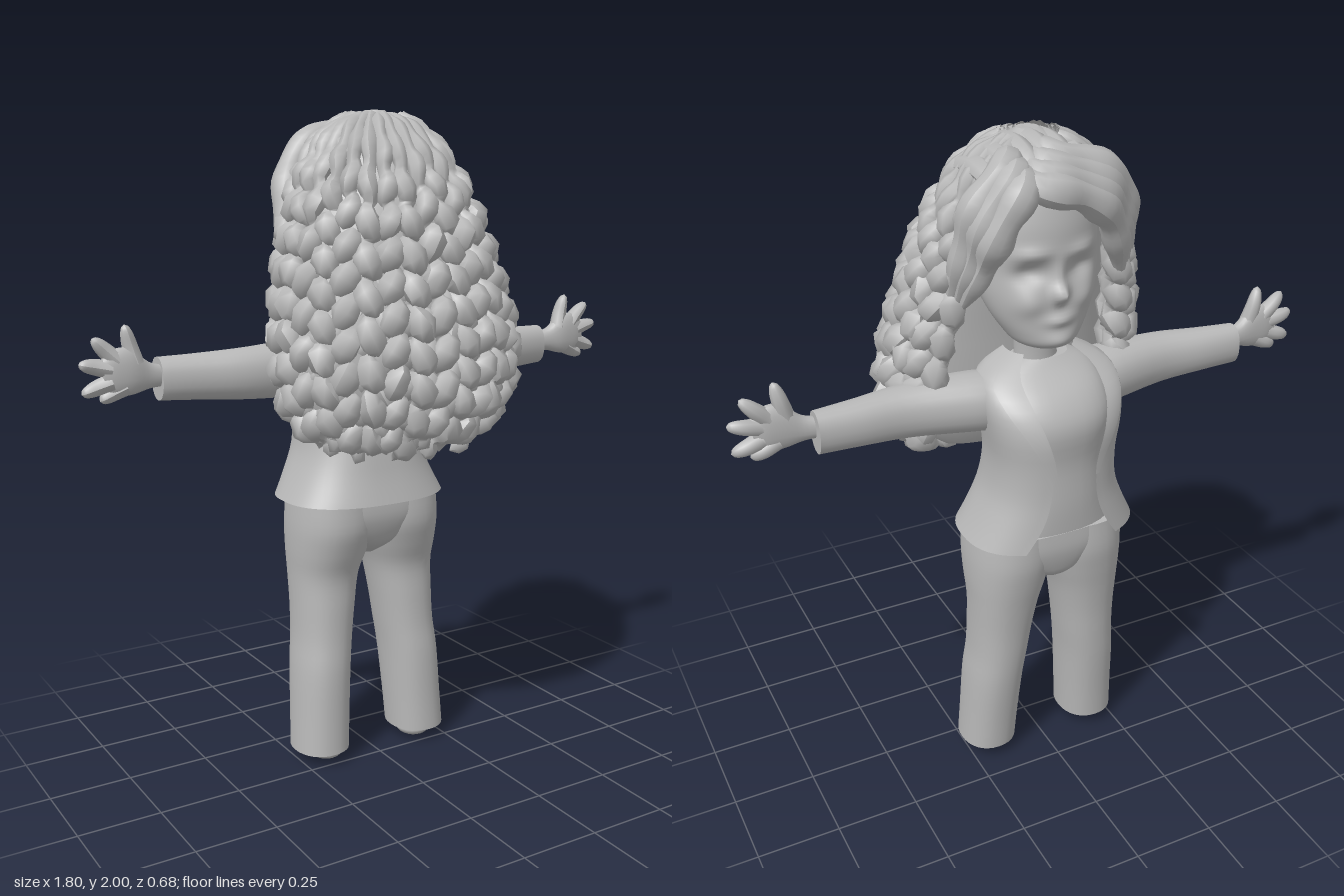
import * as THREE from 'three';

const clay = new THREE.MeshStandardMaterial({ color: 0xb8b8b8, side: THREE.DoubleSide });
clay.name = 'plain grey';

// Surface through rings [y, cx, cz, rx, rz, t0, t1], lowest first; t = 0 is the front (-z).
function loft(rings, { n = 32, p = 2, open = false } = {}) {
  const pos = [], idx = [], cols = open ? n + 1 : n;
  const bend = v => Math.sign(v) * Math.abs(v) ** (2 / p);
  for (const [y, cx, cz, rx, rz, t0 = 0, t1 = Math.PI * 2] of rings)
    for (let i = 0; i < cols; i++) {
      const t = t0 + (t1 - t0) * i / n;
      pos.push(cx + rx * bend(Math.sin(t)), y, cz - rz * bend(Math.cos(t)));
    }
  for (let r = 0; r < rings.length - 1; r++)
    for (let i = 0; i < n; i++) {
      const a = r * cols + i, b = r * cols + (i + 1) % cols;
      idx.push(a, a + cols, b, b, a + cols, b + cols);
    }
  // flat end caps with their own corners
  if (!open) for (const r of [0, rings.length - 1]) {
    const start = pos.length / 3;
    for (let i = 0; i < n; i++) pos.push(...pos.slice((r * n + i) * 3, (r * n + i) * 3 + 3));
    pos.push(rings[r][1], rings[r][0], rings[r][2]);
    for (let i = 0; i < n; i++) {
      const a = start + i, b = start + (i + 1) % n;
      idx.push(start + n, ...(r ? [b, a] : [a, b]));
    }
  }
  const g = new THREE.BufferGeometry();
  g.setAttribute('position', new THREE.Float32BufferAttribute(pos, 3));
  g.setIndex(idx);
  g.computeVertexNormals();
  return g;
}

// Extra rings on a smooth curve through the given ones
function refine(rings, steps = 4) {
  const out = [], at = i => rings[THREE.MathUtils.clamp(i, 0, rings.length - 1)];
  for (let i = 0; i < rings.length - 1; i++)
    for (let k = 0; k < steps; k++) {
      const f = k / steps;
      out.push(at(i).map((b, j) => {
        const a = at(i - 1)[j], c = at(i + 1)[j], d = at(i + 2)[j];
        return b + 0.5 * f * (c - a + f * (2 * a - 5 * b + 4 * c - d + f * (3 * (b - c) + d - a)));
      }));
    }
  return [...out, at(rings.length - 1)];
}

// Tube whose radius follows radius(s), s = 0..1
function strand(points, radius, seg = 16, sides = 8) {
  const curve = new THREE.CatmullRomCurve3(points.map(q => new THREE.Vector3(...q)));
  const g = new THREE.TubeGeometry(curve, seg, 1, sides), a = g.attributes.position;
  const v = new THREE.Vector3();
  for (let i = 0; i <= seg; i++) {
    const c = curve.getPointAt(i / seg), r = radius(i / seg);
    for (let j = 0; j <= sides; j++) {
      const k = i * (sides + 1) + j;
      v.fromBufferAttribute(a, k).sub(c).multiplyScalar(r).add(c);
      a.setXYZ(k, v.x, v.y, v.z);
    }
  }
  g.computeVertexNormals();
  return g;
}

// Mirrored copy across x, with corner order kept outward
function mirror(geo) {
  const g = geo.clone().scale(-1, 1, 1), ix = g.index.array;
  for (let i = 0; i < ix.length; i += 3) [ix[i], ix[i + 1]] = [ix[i + 1], ix[i]];
  g.computeVertexNormals();
  return g;
}

// Hair envelope rows: y, centre x, half width, back z, middle z, front z
const HAIR = [
  [1.0, 0.01, 0.26, 0.18, 0.07, -0.02], [1.1, 0.02, 0.345, 0.275, 0.05, -0.09],
  [1.2, 0.03, 0.39, 0.325, 0.04, -0.15], [1.3, 0.032, 0.405, 0.325, 0.03, -0.17],
  [1.4, 0.03, 0.39, 0.32, 0.02, -0.17], [1.5, 0.025, 0.37, 0.29, 0.0, -0.19],
  [1.6, 0.02, 0.34, 0.27, -0.01, -0.22], [1.7, 0.02, 0.315, 0.25, -0.03, -0.24],
  [1.8, 0.02, 0.28, 0.21, -0.05, -0.25], [1.9, 0.02, 0.22, 0.15, -0.06, -0.24],
  [1.95, 0.02, 0.17, 0.09, -0.06, -0.2], [1.985, 0.02, 0.09, 0.02, -0.06, -0.14],
];
function hairRow(y) {
  let i = 0;
  while (i < HAIR.length - 2 && HAIR[i + 1][0] < y) i++;
  const f = THREE.MathUtils.clamp((y - HAIR[i][0]) / (HAIR[i + 1][0] - HAIR[i][0]), 0, 1);
  return HAIR[i].map((v, k) => v + (HAIR[i + 1][k] - v) * f);
}
// Point inside the envelope at an angle measured from the back, inset by d
function hairPoint(y, phi, d) {
  const [, cx, w, zb, zc, zf] = hairRow(y), c = Math.cos(phi);
  return [cx + (w - d) * Math.sin(phi), y, zc + c * (c > 0 ? zb - zc - d : zc - zf - d * 0.5)];
}

export function createModel() {
  const model = new THREE.Group();
  model.name = 'curlyHairedFigure';
  const add = (name, g) => {
    const m = new THREE.Mesh(g, clay);
    m.name = name;
    model.add(m);
  };
  const pair = (name, g) => { add(name + 'Left', g); add(name + 'Right', mirror(g)); };

  // Trousers and feet
  pair('trouserLeg', loft(refine([
    [0.04, 0.178, -0.08, 0.088, 0.1], [0.15, 0.172, -0.088, 0.088, 0.103], [0.3, 0.163, -0.1, 0.089, 0.11],
    [0.4, 0.152, -0.11, 0.09, 0.11], [0.5, 0.144, -0.117, 0.096, 0.112], [0.6, 0.136, -0.125, 0.106, 0.118],
    [0.68, 0.126, -0.12, 0.121, 0.137], [0.76, 0.116, -0.115, 0.132, 0.153], [0.85, 0.11, -0.115, 0.132, 0.15],
  ]), { p: 2.2 }));
  add('trouserSeat', loft(refine([[0.655, 0, -0.12, 0.02, 0.06], [0.69, 0, -0.12, 0.07, 0.115],
    [0.73, 0, -0.117, 0.15, 0.138], [0.79, 0, -0.115, 0.225, 0.153], [0.85, 0, -0.115, 0.235, 0.152]]), { p: 2.6, n: 48 }));
  pair('foot', new THREE.SphereGeometry(1, 20, 14).scale(0.055, 0.03, 0.06).translate(0.165, 0.03, -0.065));

  // Shirt under the jacket, and neck
  add('shirt', loft(refine([
    [0.86, 0, -0.125, 0.21, 0.155], [0.95, 0, -0.135, 0.18, 0.15], [1.08, 0, -0.145, 0.165, 0.14],
    [1.2, 0, -0.155, 0.18, 0.143], [1.28, 0, -0.14, 0.17, 0.12], [1.34, 0, -0.11, 0.14, 0.08], [1.37, 0, -0.1, 0.08, 0.06],
  ]), { p: 2.3 }));
  add('neck', loft([[1.3, 0.01, -0.1, 0.08, 0.07], [1.38, 0.015, -0.1, 0.06, 0.058], [1.5, 0.03, -0.12, 0.062, 0.06]]));

  // Open jacket; the last number is the half angle of the front gap
  const jacket = refine([
    [0.84, 0, -0.13, 0.265, 0.2, 0.5], [0.92, 0, -0.14, 0.225, 0.187, 0.36], [1.0, 0, -0.147, 0.195, 0.178, 0.3],
    [1.1, 0, -0.16, 0.187, 0.168, 0.3], [1.2, 0, -0.165, 0.202, 0.165, 0.4], [1.28, 0, -0.15, 0.212, 0.145, 0.5],
    [1.34, 0, -0.115, 0.19, 0.11, 0.6], [1.39, 0, -0.09, 0.1, 0.075, 0.8],
  ], 3);
  add('jacket', loft(jacket.map(r => [...r.slice(0, 5), r[5], Math.PI * 2 - r[5]]), { p: 2.5, n: 48, open: true }));
  pair('lapel', loft(jacket.slice(8).map(([y, cx, cz, rx, rz, t], i) =>
    [y, cx, cz, rx * 1.03, rz * 1.05, t - 0.05, t + 0.02 + 0.5 * Math.min(1, i / 9)]), { p: 2.5, n: 8, open: true }));

  // Sleeves and hands, lofted upright and laid along x
  const limb = rings => loft(refine(rings), { n: 20, p: 2.2 }).rotateZ(-Math.PI / 2);
  pair('sleeve', limb([
    [0.1, -1.245, -0.11, 0.075, 0.08], [0.2, -1.255, -0.1, 0.085, 0.09], [0.4, -1.256, -0.074, 0.076, 0.07],
    [0.55, -1.258, -0.085, 0.067, 0.057], [0.67, -1.26, -0.095, 0.062, 0.045],
  ]));
  pair('palm', limb([
    [0.65, -1.27, -0.085, 0.03, 0.022], [0.7, -1.275, -0.08, 0.037, 0.023], [0.75, -1.29, -0.075, 0.064, 0.028],
    [0.8, -1.29, -0.075, 0.066, 0.025], [0.835, -1.287, -0.075, 0.045, 0.016],
  ]));
  const fingers = [[0.74, 1.31, 0.768, 1.42], [0.79, 1.32, 0.86, 1.388], [0.81, 1.3, 0.9, 1.32],
    [0.81, 1.265, 0.895, 1.238], [0.77, 1.25, 0.845, 1.215]];
  fingers.forEach(([x0, y0, x1, y1], i) => pair('finger' + (i + 1), strand(
    [[x0, y0, -0.075], [(x0 + x1) / 2, (y0 + y1) / 2, -0.08], [x1, y1, -0.075]],
    s => 0.026 * Math.sqrt(Math.max(0.001, 1 - s ** 5)) * (1 - 0.25 * s))));

  // Head, with the face pushed out and in by soft bumps [x, y, width, height, depth]
  const hx = 0.03;
  const head = loft(refine([
    [1.435, hx, -0.18, 0.05, 0.055], [1.455, hx, -0.175, 0.09, 0.092], [1.49, hx, -0.165, 0.118, 0.11],
    [1.54, hx, -0.15, 0.148, 0.122], [1.6, hx, -0.13, 0.17, 0.14], [1.66, hx, -0.12, 0.178, 0.145],
    [1.72, hx, -0.11, 0.18, 0.16], [1.8, hx, -0.1, 0.175, 0.165], [1.88, hx, -0.1, 0.15, 0.14], [1.93, hx, -0.1, 0.08, 0.08],
  ], 6), { n: 96 });
  const bumps = [[0, 1.605, 0.02, 0.024, 0.04], [0, 1.65, 0.018, 0.04, 0.014], [0, 1.53, 0.04, 0.017, 0.016],
    [0, 1.47, 0.045, 0.025, 0.014]];
  for (const s of [-1, 1]) bumps.push([s * 0.075, 1.66, 0.04, 0.026, -0.022], [s * 0.075, 1.715, 0.045, 0.018, 0.012],
    [s * 0.085, 1.58, 0.04, 0.035, 0.014]);
  const hp = head.attributes.position;
  for (let i = 0; i < hp.count; i++) if (hp.getZ(i) < -0.13)
    for (const [x, y, w, h, d] of bumps)
      hp.setZ(i, hp.getZ(i) - d * Math.exp(-(((hp.getX(i) - hx - x) / w) ** 2) - ((hp.getY(i) - y) / h) ** 2));
  head.computeVertexNormals();
  add('head', head);

  // Solid hair mass beneath the curls
  add('hairMass', loft([...HAIR.map(([y, cx, w, zb, zc, zf]) => {
    const back = zb - 0.04, front = zc - (zc - zf) * (y > 1.75 ? 0.95 : 0.45);
    return [y + (y < 1.05 ? 0.04 : 0), cx, (back + front) / 2, w - 0.045, (back - front) / 2];
  }), [1.996, 0.02, -0.06, 0.03, 0.03]]));

  // Wavy curls hanging from the crown around the back and sides, coiling in alternate directions
  const count = 23, reach = 2.25;
  for (let layer = 0; layer < 2; layer++)
    for (let k = 0; k < count - layer; k++) {
      const phi = -reach + 2 * reach * (k + layer / 2) / (count - 1);
      const end = 1.01 + 0.14 * (Math.abs(phi) / reach) ** 3 + layer * 0.04 + 0.02 * Math.sin(k * 2.4);
      const top = layer ? 1.6 : 1.975, pts = [], turns = (top - end) / (0.092 + 0.008 * Math.sin(k * 4.1));
      const n = Math.round(turns * 6), coil = k % 2 ? 1 : -1, phase = k * k * 1.7 + layer;
      for (let i = 0; i <= n; i++) {
        const s = i / n, y = top + (end - top) * s, a = s * turns * Math.PI * 2 + phase;
        const amp = 0.016 * Math.min(1, s * 3 + layer * 0.5), side = 0.6 * coil * amp * Math.cos(a), out = amp * Math.sin(a);
        const q = hairPoint(y, phi, 0.036 + layer * 0.03);
        pts.push([q[0] + side * Math.cos(phi) + out * Math.sin(phi), y, q[2] + out * Math.cos(phi) - side * Math.sin(phi)]);
      }
      add('curl', strand(pts, s => (0.018 + 0.017 * Math.min(1, s * 2.5))
        * (1 + 0.2 * Math.sin(s * turns * Math.PI * 2 + phase))
        * Math.sqrt(Math.max(0.001, 1 - s ** 24)), n, 7));
    }

  // Smooth locks over the crown
  const taper = r => s => r * Math.sqrt(Math.max(0.002, Math.sin(Math.PI * (0.08 + 0.91 * s))));
  for (let i = 0; i < 7; i++) {
    const x = (i - 3) * 0.05, drop = 2.4 * x * x;
    add('crownLock', strand([[hx + x * 0.9, 1.91 - drop, -0.25], [hx + x, 1.955 - drop, -0.17],
      [hx + x, 1.964 - drop, -0.06], [hx + x * 1.1, 1.925 - drop, 0.04], [hx + x * 1.3, 1.85 - drop, 0.11 - drop]], taper(0.034), 20, 8));
  }

  // Swept fringe, parted to the left
  for (let i = 0; i < 4; i++) {
    const d = i * 0.03;
    add('fringeRight', strand([[0.1 - d, 1.93 + d * 0.3, -0.12 + d], [0.1 - d, 1.9 + d * 0.5, -0.265 + d * 0.9],
      [-0.03 - d * 0.6, 1.86 + d * 0.7, -0.27 + d * 0.8], [-0.13 - d * 0.5, 1.79 + d * 0.8, -0.235 + d * 0.5],
      [-0.19 - d * 0.6, 1.68 + d * 0.4, -0.19 + d * 0.6], [-0.23 - d * 0.3, 1.56, -0.14 + d * 0.5]],
    s => taper(0.046)(s) * (1 + 0.12 * Math.sin(s * 26 + i)), 32, 10));
  }
  for (let i = 0; i < 3; i++) {
    const d = i * 0.035;
    add('fringeLeft', strand([[0.1, 1.93, -0.12 + d], [0.13 + d * 0.2, 1.9 + d * 0.5, -0.26 + d],
      [0.19 + d * 0.5, 1.81 + d * 0.6, -0.265 + d], [0.22 + d * 0.6, 1.68, -0.2 + d * 0.6],
      [0.26 + d * 0.3, 1.56, -0.15 + d * 0.5]], s => taper(0.046)(s) * (1 + 0.12 * Math.sin(s * 24 + i)), 28, 10));
  }
  return model;
}
